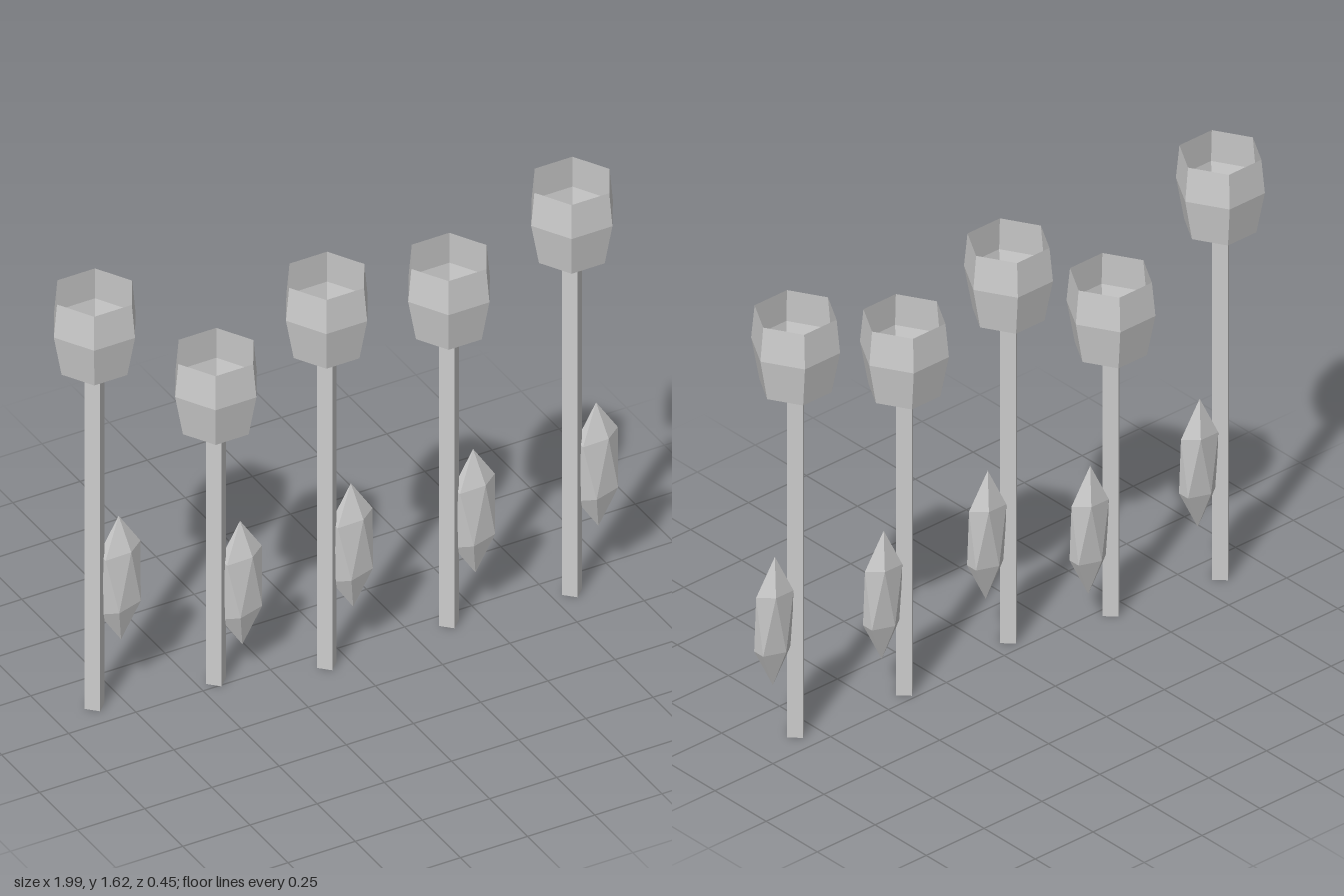
import * as THREE from 'three';

const grey = new THREE.MeshStandardMaterial({ color: 0xcccccc, flatShading: true, side: THREE.DoubleSide });
grey.name = 'pale grey';

// x, z, height of the cup rim, height of the leaf centre
const FLOWERS = [
  [-0.848, -0.098, 1.615, 0.470],
  [-0.435, -0.03, 1.285, 0.353],
  [-0.077, 0.066, 1.52, 0.437],
  [0.387, 0.05, 1.43, 0.407],
  [0.822, 0.09, 1.606, 0.468],
];

// Open six-sided cup, origin at the rim
function cupGeometry() {
  const profile = [[0, -0.335], [0.123, -0.28], [0.152, -0.125], [0.14, 0]];
  return new THREE.LatheGeometry(profile.map(([r, y]) => new THREE.Vector2(r, y)), 6, Math.PI / 2);
}

// Faceted leaf: an icosahedron standing on a corner, slightly tilted, stretched tall and thin
function leafGeometry() {
  const g = new THREE.IcosahedronGeometry(1, 0);
  g.rotateZ(-0.5536 + 0.05);
  g.scale(0.088, 0.243, 0.042);
  return g;
}

export function createModel() {
  const model = new THREE.Group();
  model.name = 'flowerRow';
  const cup = cupGeometry();
  const leaf = leafGeometry();

  for (const [x, z, rimY, leafY] of FLOWERS) {
    const flower = new THREE.Group();
    flower.name = 'flower';
    flower.position.set(x, 0, z);

    const add = (name, geometry, px, py) => {
      const mesh = new THREE.Mesh(geometry, grey);
      mesh.name = name;
      mesh.position.set(px, py, 0);
      flower.add(mesh);
    };

    // Square stem, corners facing the axes, ending just inside the cup
    const stemH = rimY - 0.31;
    add('stem', new THREE.CylinderGeometry(0.037, 0.037, stemH, 4), 0, stemH / 2);
    add('blossom', cup, 0, rimY);
    add('leaf', leaf, 0.094, leafY);
    model.add(flower);
  }
  return model;
}
